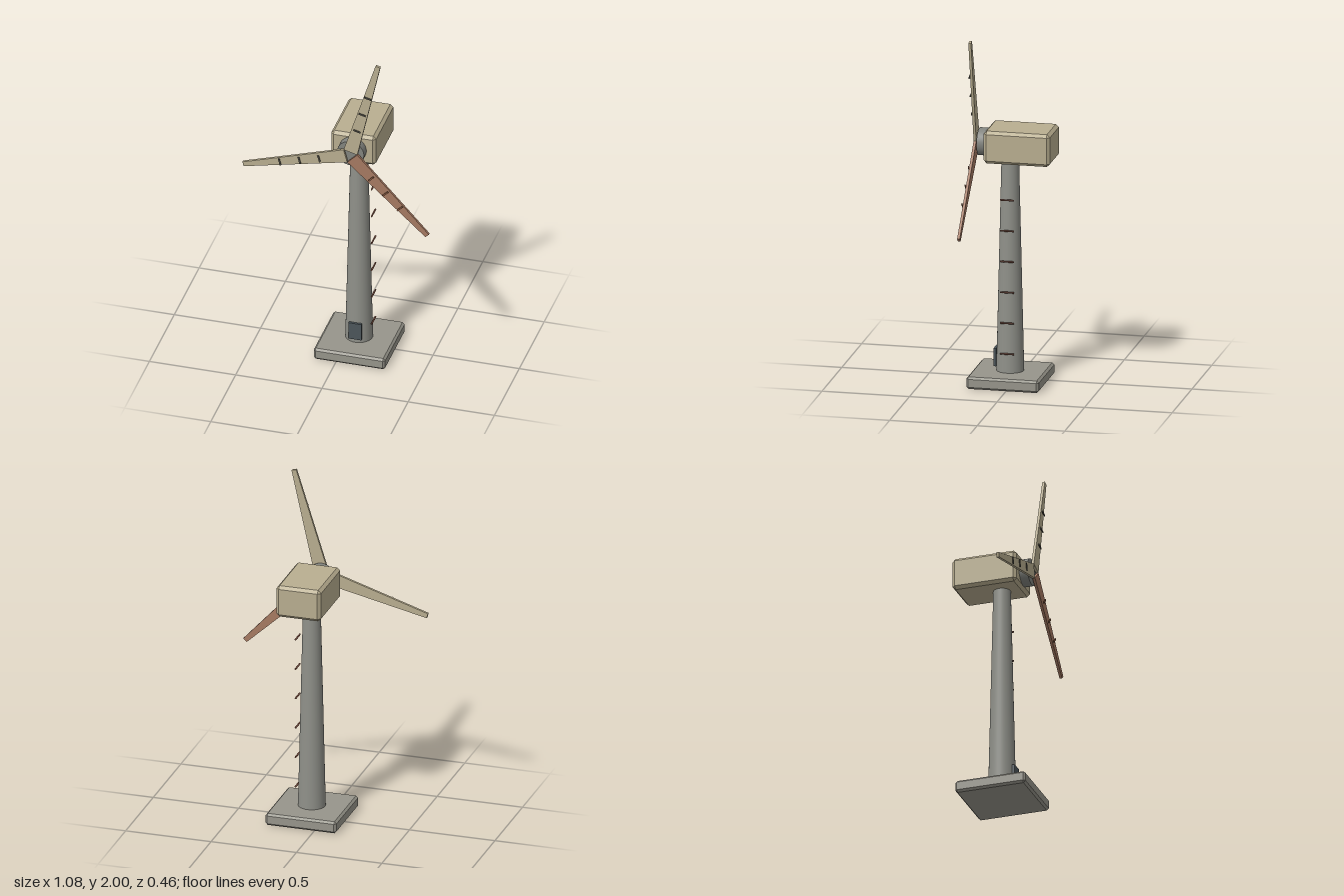
import * as THREE from 'three';
import { ConvexGeometry } from 'three/addons/geometries/ConvexGeometry.js';

const AXIS_X = 0.078, AXIS_Z = 0.02, HUB_Y = 1.382;

const paint = (color) => new THREE.MeshStandardMaterial({ color });
const tan = paint(0xb9ae90);
const red = paint(0xa67a62);
const stone = paint(0x97958b);
const steel = paint(0x8f9089);
const hubGrey = paint(0x82847f);
const doorBlue = paint(0x4c565b);
const rungBrown = paint(0x7d5040);
const dark = paint(0x55534a);
const darkRed = paint(0x85583f);

function add(parent, name, geometry, material, x = 0, y = 0, z = 0) {
  const mesh = new THREE.Mesh(geometry, material);
  mesh.name = name;
  mesh.position.set(x, y, z);
  parent.add(mesh);
  return mesh;
}

// Box with every edge cut back by c
function chamferBox(w, h, d, c) {
  const points = [];
  for (const sx of [-1, 1]) for (const sy of [-1, 1]) for (const sz of [-1, 1]) {
    const x = w / 2, y = h / 2, z = d / 2;
    points.push(
      new THREE.Vector3(sx * x, sy * (y - c), sz * (z - c)),
      new THREE.Vector3(sx * (x - c), sy * y, sz * (z - c)),
      new THREE.Vector3(sx * (x - c), sy * (y - c), sz * z));
  }
  return new ConvexGeometry(points);
}

// Straight tapered blade pointing along +y
function bladeGeometry() {
  const root = 0.024, tip = 0.638, depth = 0.015;
  const shape = new THREE.Shape([
    new THREE.Vector2(-0.041, root), new THREE.Vector2(0.041, root),
    new THREE.Vector2(0.014, tip), new THREE.Vector2(-0.014, tip)]);
  return new THREE.ExtrudeGeometry(shape, { depth, bevelEnabled: false });
}

export function createModel() {
  const model = new THREE.Group();
  model.name = 'windTurbine';

  // Foundation and tower
  add(model, 'foundation', chamferBox(0.414, 0.07, 0.414, 0.012), stone, AXIS_X, 0.035, AXIS_Z);
  add(model, 'tower', new THREE.CylinderGeometry(0.049, 0.078, 1.24, 32), steel, AXIS_X, 0.68, AXIS_Z);
  add(model, 'door', new THREE.BoxGeometry(0.075, 0.104, 0.014), doorBlue, AXIS_X, 0.147, 0.1);

  // Climbing rungs on the left of the tower
  const rung = new THREE.CylinderGeometry(0.005, 0.005, 0.08, 8).rotateX(Math.PI / 2);
  for (let i = 0; i < 6; i++) add(model, 'rung', rung, rungBrown, 0.161, 0.183 + i * 0.178, AXIS_Z);

  // Nacelle and hub
  add(model, 'nacelle', chamferBox(0.26, 0.187, 0.378, 0.017), tan, AXIS_X, HUB_Y, -0.043);
  const hub = new THREE.CylinderGeometry(0.078, 0.078, 0.07, 32).rotateX(Math.PI / 2);
  add(model, 'hub', hub, hubGrey, AXIS_X, HUB_Y, 0.161);

  // Rotor: three blades, each with three raised marker bars
  const rotor = new THREE.Group();
  rotor.name = 'rotor';
  rotor.position.set(AXIS_X, HUB_Y, 0);
  model.add(rotor);
  const blade = bladeGeometry();
  const bar = new THREE.BoxGeometry(0.042, 0.009, 0.005);
  for (let i = 0; i < 3; i++) {
    const arm = new THREE.Group();
    arm.name = 'bladeArm';
    arm.rotation.z = THREE.MathUtils.degToRad(-15 + i * 120);
    rotor.add(arm);
    add(arm, 'blade', blade, i === 2 ? red : tan, 0, 0, 0.204);
    for (let k = 0; k < 3; k++) {
      add(arm, 'bladeMarker', bar, i === 2 ? darkRed : dark, 0, 0.18 + k * 0.118, 0.227);
    }
  }
  return model;
}
